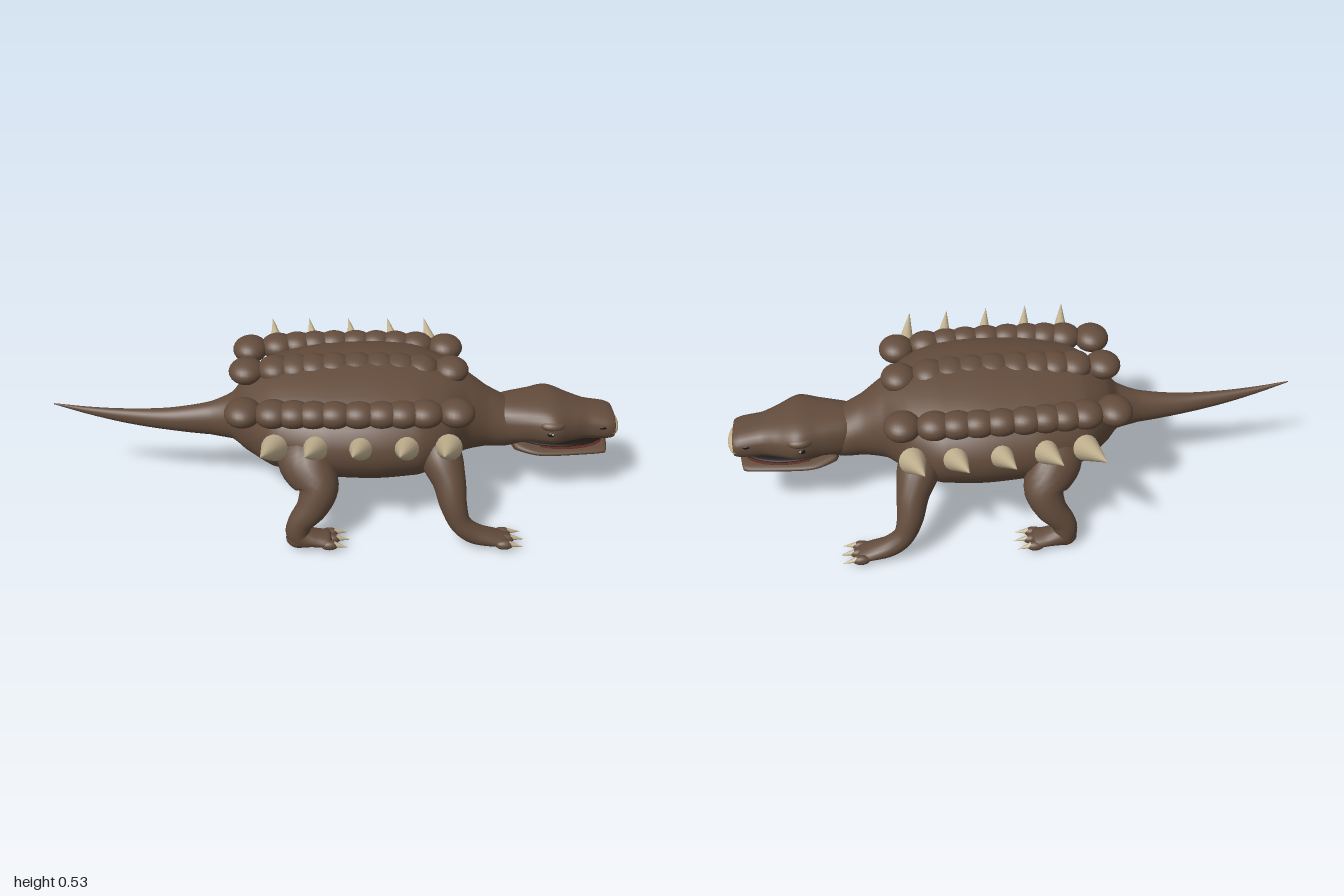
import * as THREE from 'three';

const mat = (name, color) => {
  const m = new THREE.MeshStandardMaterial({ color });
  m.name = name;
  return m;
};

// Smooth skin over rings [x, y, z, ry, rz]; upright rings face straight along x.
function loft(sections, { steps = 6, sides = 28, upright = false, power = 1 } = {}) {
  const path = new THREE.CatmullRomCurve3(sections.map(s => new THREE.Vector3(s[0], s[1], s[2])));
  const size = new THREE.CatmullRomCurve3(sections.map(s => new THREE.Vector3(s[3], s[4], 0)));
  const n = (sections.length - 1) * steps;
  const pos = [], idx = [];
  const bend = v => Math.sign(v) * Math.abs(v) ** power;
  for (let i = 0; i <= n; i++) {
    const c = path.getPoint(i / n), r = size.getPoint(i / n);
    const t = upright ? new THREE.Vector3(1, 0, 0)
      : path.getPoint(Math.min(1, (i + 1) / n)).sub(path.getPoint(Math.max(0, (i - 1) / n))).normalize();
    const side = new THREE.Vector3(0, 0, 1).addScaledVector(t, -t.z).normalize();
    const up = side.clone().cross(t);
    for (let j = 0; j < sides; j++) {
      const a = j / sides * Math.PI * 2;
      const p = c.clone()
        .addScaledVector(side, bend(Math.cos(a)) * Math.max(r.y, 0.001))
        .addScaledVector(up, bend(Math.sin(a)) * Math.max(r.x, 0.001));
      pos.push(p.x, p.y, p.z);
      if (i < n) {
        const k = i * sides + j, l = i * sides + (j + 1) % sides;
        idx.push(k, k + sides, l, l, k + sides, l + sides);
      }
    }
  }
  const g = new THREE.BufferGeometry();
  g.setAttribute('position', new THREE.Float32BufferAttribute(pos, 3));
  g.setIndex(idx);
  g.computeVertexNormals();
  return g;
}

export function createModel() {
  const model = new THREE.Group();
  const hide = mat('brown hide', 0x634c3c);
  const horn = mat('pale horn', 0xc2b290);
  const dark = mat('dark', 0x1a1614);
  const flesh = mat('mouth red', 0x5c2a24);

  const add = (name, geometry, material) => {
    const m = new THREE.Mesh(geometry, material);
    m.name = name;
    model.add(m);
    return m;
  };
  const blob = (name, material, x, y, z, rx, ry, rz) => {
    const m = add(name, new THREE.SphereGeometry(1, 24, 16), material);
    m.position.set(x, y, z);
    m.scale.set(rx, ry, rz);
    return m;
  };
  // Cone from a base point to a tip
  const spike = (name, from, to, radius) => {
    const a = new THREE.Vector3(...from), b = new THREE.Vector3(...to);
    const d = b.clone().sub(a);
    const m = add(name, new THREE.ConeGeometry(radius, d.length(), 16), horn);
    m.position.copy(a).addScaledVector(d, 0.5);
    m.quaternion.setFromUnitVectors(new THREE.Vector3(0, 1, 0), d.normalize());
  };

  // Tail, trunk and neck in one skin
  add('body', loft([
    [-1, 0.34, 0, 0.002, 0.002], [-0.88, 0.312, 0, 0.014, 0.012], [-0.75, 0.29, 0, 0.027, 0.022],
    [-0.6, 0.277, 0, 0.041, 0.035], [-0.45, 0.28, 0, 0.062, 0.05], [-0.37, 0.292, 0, 0.085, 0.08],
    [-0.32, 0.31, 0, 0.125, 0.16], [-0.22, 0.32, 0, 0.167, 0.27], [-0.05, 0.321, 0, 0.19, 0.33],
    [0.12, 0.322, 0, 0.197, 0.34], [0.27, 0.322, 0, 0.188, 0.325], [0.37, 0.318, 0, 0.168, 0.26],
    [0.45, 0.312, 0, 0.14, 0.15], [0.53, 0.288, 0, 0.107, 0.11], [0.6, 0.268, 0, 0.087, 0.1],
    [0.67, 0.255, 0, 0.05, 0.08], [0.69, 0.255, 0, 0, 0],
  ], { upright: true, sides: 40 }), hide);

  // Head: broad skull and blunt snout
  add('head', loft([
    [0.53, 0.285, 0, 0.06, 0.07], [0.6, 0.283, 0, 0.078, 0.1], [0.68, 0.292, 0, 0.077, 0.123],
    [0.75, 0.296, 0, 0.076, 0.147], [0.82, 0.286, 0, 0.067, 0.115], [0.88, 0.278, 0, 0.058, 0.09],
    [0.95, 0.272, 0, 0.052, 0.089], [0.977, 0.269, 0, 0.044, 0.08], [0.983, 0.268, 0, 0, 0],
  ], { upright: true, power: 0.8 }), hide);
  add('lowerJaw', loft([
    [0.61, 0.2, 0, 0, 0], [0.63, 0.2, 0, 0.02, 0.08], [0.72, 0.189, 0, 0.017, 0.11],
    [0.85, 0.187, 0, 0.017, 0.1], [0.95, 0.187, 0, 0.016, 0.085], [0.968, 0.188, 0, 0, 0],
  ], { upright: true, power: 0.8 }), hide);
  blob('mouthLining', flesh, 0.8, 0.202, 0, 0.155, 0.005, 0.092);
  blob('mouthGap', dark, 0.79, 0.213, 0, 0.165, 0.011, 0.091);
  blob('beak', horn, 0.965, 0.263, 0, 0.035, 0.028, 0.085);

  // Back bumps: middle row
  const rowX = [-0.315, -0.215, -0.145, -0.08, -0.01, 0.07, 0.145, 0.215, 0.29, 0.395];
  for (const x of rowX) {
    const mid = 1 - ((x - 0.06) / 0.38) ** 2;
    blob('middleBump', hide, x, 0.47 + 0.018 * mid, 0, 0.062, 0.042, 0.069);
  }

  for (const s of [1, -1]) {
    // Back bumps: side rows
    for (const x of rowX) {
      const mid = 1 - ((x - 0.06) / 0.38) ** 2;
      blob('sideBump', hide, x, 0.437 + 0.008 * mid, s * (0.226 + 0.032 * mid),
        0.063, 0.044, 0.073 - 0.02 * mid);
    }

    // Flank spikes
    for (const x of [-0.21, -0.07, 0.08, 0.23, 0.37]) {
      spike('flankSpike', [x, 0.345, s * 0.3], [x - 0.035, 0.43, s * 0.49], 0.045);
    }

    // Face details
    blob('brow', hide, 0.745, 0.318, s * 0.118, 0.045, 0.02, 0.03);
    blob('eye', dark, 0.74, 0.294, s * 0.14, 0.014, 0.01, 0.009);
    blob('eyeGlint', horn, 0.744, 0.296, s * 0.147, 0.004, 0.004, 0.003);
    blob('nostril', dark, 0.93, 0.285, s * 0.084, 0.016, 0.007, 0.006);

    // Legs
    const leg = (name, pts) => add(name, loft(pts.map(([x, y, z, a, b]) => [x, y, s * z, a, b]), { sides: 20 }), hide);
    leg('frontLeg', [
      [0.32, 0.34, 0.2, 0.05, 0.05], [0.35, 0.28, 0.265, 0.072, 0.075], [0.375, 0.22, 0.32, 0.056, 0.06],
      [0.39, 0.15, 0.36, 0.045, 0.047], [0.415, 0.09, 0.378, 0.036, 0.038], [0.46, 0.052, 0.38, 0.034, 0.04],
      [0.53, 0.032, 0.377, 0.023, 0.045], [0.57, 0.027, 0.377, 0.015, 0.044], [0.58, 0.026, 0.377, 0, 0],
    ]);
    leg('hindLeg', [
      [-0.13, 0.34, 0.22, 0.06, 0.05], [-0.11, 0.28, 0.285, 0.09, 0.075], [-0.065, 0.215, 0.34, 0.07, 0.07],
      [-0.085, 0.155, 0.37, 0.054, 0.053], [-0.128, 0.095, 0.382, 0.042, 0.041], [-0.13, 0.05, 0.382, 0.042, 0.04],
      [-0.075, 0.036, 0.382, 0.026, 0.043], [-0.03, 0.032, 0.382, 0.02, 0.046], [-0.015, 0.03, 0.382, 0, 0],
    ]);
    blob('heel', hide, -0.13, 0.037, s * 0.382, 0.045, 0.035, 0.038);

    // Toes and claws
    for (const tx of [0.57, -0.02]) {
      for (const k of [-1, 0, 1]) {
        const z = s * 0.379 + k * 0.036, x = tx - Math.abs(k) * 0.008;
        blob('toe', hide, x, 0.028, z, 0.03, 0.017, 0.017);
        spike('claw', [x + 0.015, 0.032, z], [x + 0.064, 0.024, z + k * 0.008], 0.011);
      }
    }
  }
  return model;
}
